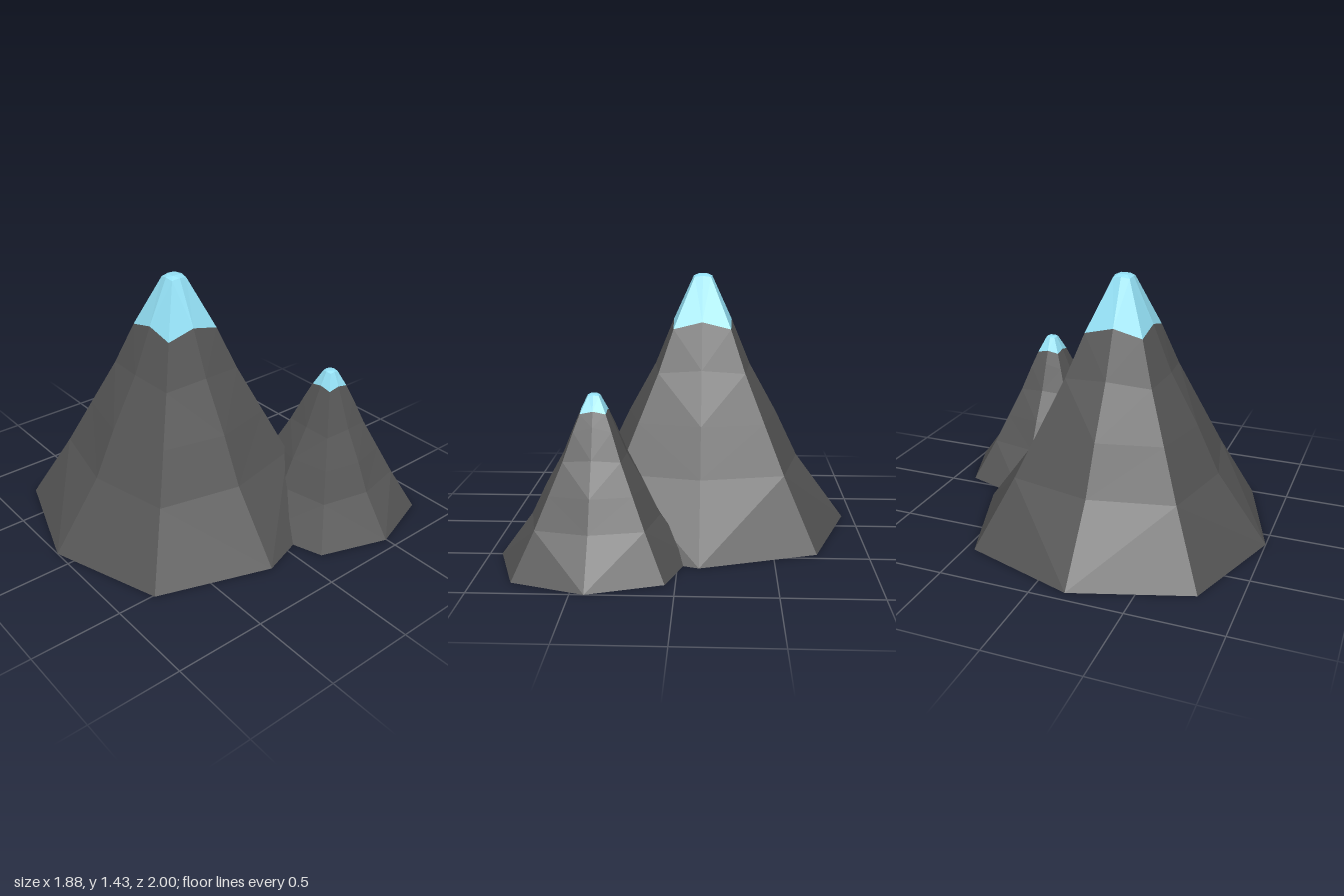
import * as THREE from 'three';

// Cross-sections: radius and height at the four side ridges, then at the four corner edges
const ROCK = [
  [0.83, 0, 0.62, 0],
  [0.55, 0.38, 0.45, 0.38],
  [0.425, 0.64, 0.345, 0.64],
  [0.27, 0.92, 0.24, 0.9],
];
const SNOW_LOW = [0.165, 1.175, 0.16, 1.135];
const SNOW_HIGH = [0.112, 1.298, 0.108, 1.275];
const PEAK = [0.052, 1.422, 0.046, 1.415];
const TIP = [0.025, 1.432, 0.024, 1.432];

// One octagonal ring, squarer towards the summit
function ringPoints([sideR, sideY, cornerR, cornerY]) {
  const points = [];
  for (let i = 0; i < 8; i++) {
    const corner = i % 2 === 1;
    const r = corner ? cornerR * Math.SQRT2 : sideR;
    const a = (i * Math.PI) / 4;
    points.push([r * Math.sin(a), corner ? cornerY : sideY, r * Math.cos(a)]);
  }
  return points;
}

// Skin the rings from bottom to top, optionally closing either end
function loft(sections, closeBottom, closeTop) {
  const rings = sections.map(ringPoints);
  const pos = [];
  const tri = (...corners) => corners.forEach((p) => pos.push(...p));
  const last = rings.length - 1;
  for (let i = 0; i < 8; i++) {
    const j = (i + 1) % 8;
    for (let k = 0; k < last; k++) {
      const lower = rings[k], upper = rings[k + 1];
      // Keep both halves of a face mirrored about its ridge
      if (i % 2 === 0) {
        tri(lower[i], lower[j], upper[j]);
        tri(lower[i], upper[j], upper[i]);
      } else {
        tri(lower[i], lower[j], upper[i]);
        tri(lower[j], upper[j], upper[i]);
      }
    }
    if (closeBottom) tri([0, sections[0][1], 0], rings[0][j], rings[0][i]);
    if (closeTop) tri([0, sections[last][1], 0], rings[last][i], rings[last][j]);
  }
  const geometry = new THREE.BufferGeometry();
  geometry.setAttribute('position', new THREE.Float32BufferAttribute(pos, 3));
  geometry.computeVertexNormals();
  return geometry;
}

export function createModel() {
  const model = new THREE.Group();
  model.name = 'mountains';
  const rockMaterial = new THREE.MeshStandardMaterial({ color: 0x555555, flatShading: true });
  const snowMaterial = new THREE.MeshStandardMaterial({ color: 0x93e0f5, flatShading: true });

  function addMountain(name, x, z, scale, rockSections, snowSections) {
    const mountain = new THREE.Group();
    mountain.name = name;
    const rock = new THREE.Mesh(loft(rockSections, true, false), rockMaterial);
    rock.name = 'rockSlopes';
    const snow = new THREE.Mesh(loft(snowSections, false, true), snowMaterial);
    snow.name = 'snowCap';
    mountain.add(rock, snow);
    mountain.position.set(x, 0, z);
    mountain.scale.setScalar(scale);
    model.add(mountain);
  }

  // The small mountain repeats the large one with a higher snow line
  addMountain('largeMountain', -0.11, 0.17, 1, [...ROCK, SNOW_LOW], [SNOW_LOW, PEAK, TIP]);
  addMountain('smallMountain', 0.43, -0.495, 0.61, [...ROCK, SNOW_LOW, SNOW_HIGH], [SNOW_HIGH, PEAK, TIP]);
  return model;
}
